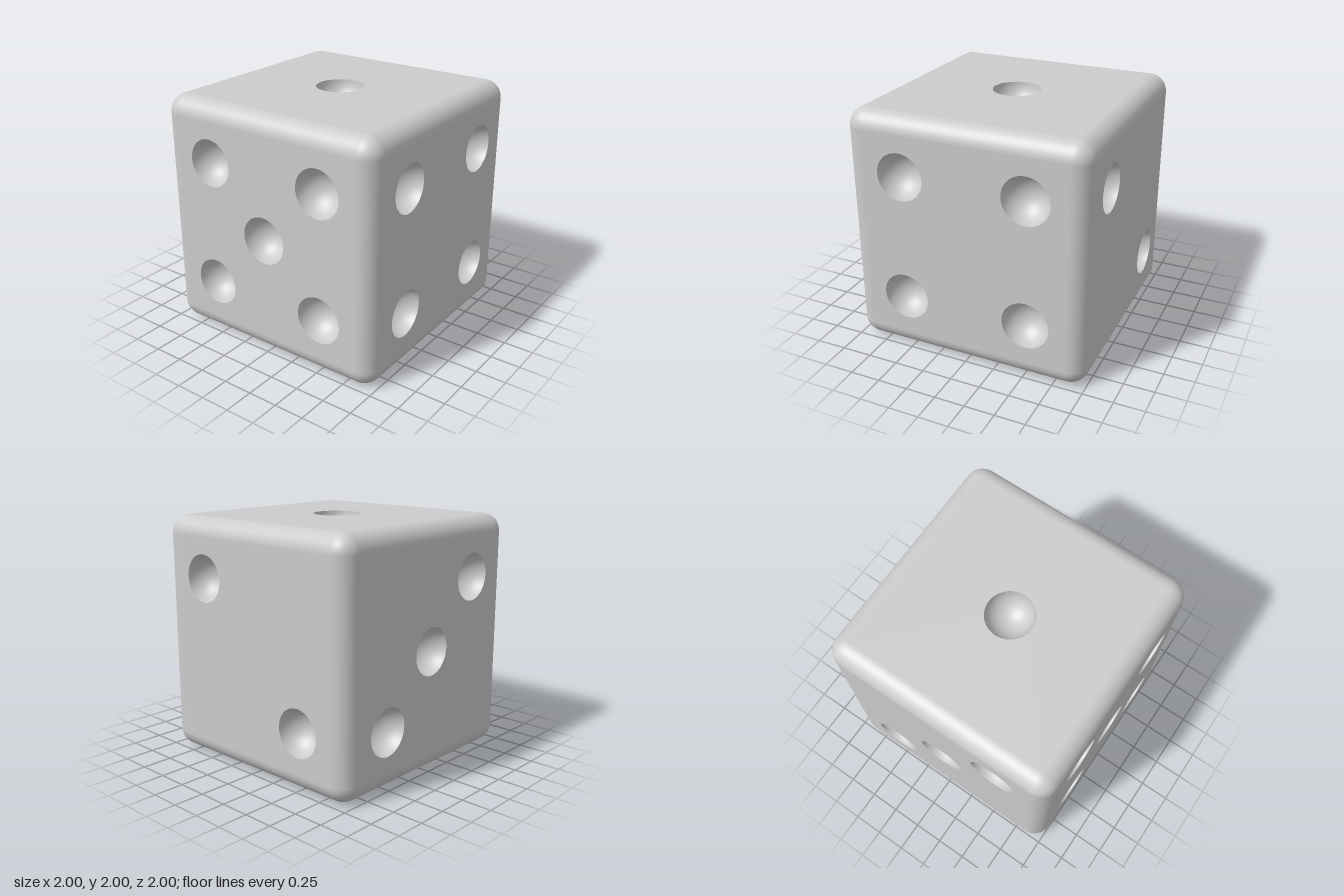
import * as THREE from 'three';

const HALF = 1;          // half of the cube's side
const ROUND = 0.15;      // radius of the rounded edges
const FLAT = HALF - ROUND;
const PIP = 0.195;       // radius of the hemispherical pips
const P = 0.52;          // pip offset from the face centre
const SEG = 48;

const pips = {
  one: [[0, 0]],
  two: [[-P, P], [P, -P]],
  three: [[-P, -P], [0, 0], [P, P]],
  four: [[-P, P], [P, P], [-P, -P], [P, -P]],
  five: [[-P, P], [P, P], [0, 0], [-P, -P], [P, -P]],
  six: [[-P, P], [-P, 0], [-P, -P], [P, P], [P, 0], [P, -P]],
};

// Hollow half sphere, open towards +z
function bowlGeometry() {
  const profile = [];
  for (let i = 0; i <= 16; i++) {
    const a = (i / 16) * Math.PI / 2;
    profile.push(new THREE.Vector2(i === 16 ? 0 : PIP * Math.cos(a), -PIP * Math.sin(a)));
  }
  return new THREE.LatheGeometry(profile, SEG).rotateX(Math.PI / 2);
}

// Flat square with a round opening for every pip
function plateGeometry(spots) {
  const shape = new THREE.Shape();
  shape.moveTo(-FLAT, -FLAT).lineTo(FLAT, -FLAT).lineTo(FLAT, FLAT).lineTo(-FLAT, FLAT).closePath();
  for (const [x, y] of spots) {
    shape.holes.push(new THREE.Path().absarc(x, y, PIP, 0, Math.PI * 2, true));
  }
  return new THREE.ShapeGeometry(shape, SEG / 2);
}

export function createModel() {
  const model = new THREE.Group();
  model.name = 'die';
  const body = new THREE.Group();
  body.name = 'body';
  body.position.y = HALF;
  model.add(body);

  const grey = new THREE.MeshStandardMaterial({ color: 0xcccccc });
  grey.name = 'light grey';

  const add = (parent, name, geometry) => {
    const mesh = new THREE.Mesh(geometry, grey);
    mesh.name = name;
    parent.add(mesh);
    return mesh;
  };

  // Six faces with their pips
  const Q = Math.PI / 2;
  const bowl = bowlGeometry();
  const faces = [
    ['frontFace', pips.four, 0, 0],
    ['leftFace', pips.two, 0, Q],
    ['backFace', pips.three, 0, Math.PI],
    ['rightFace', pips.five, 0, -Q],
    ['topFace', pips.one, -Q, 0],
    ['bottomFace', pips.six, Q, 0],
  ];
  for (const [name, spots, rx, ry] of faces) {
    const face = new THREE.Group();
    face.name = name;
    face.rotation.set(rx, ry, 0);
    add(face, 'plate', plateGeometry(spots)).position.z = HALF;
    for (const [x, y] of spots) add(face, 'pip', bowl).position.set(x, y, HALF);
    body.add(face);
  }

  // Twelve rounded edges: four along each axis
  const edge = new THREE.CylinderGeometry(ROUND, ROUND, 2 * FLAT, 12, 1, true, 0, Q)
    .translate(FLAT, 0, FLAT);
  for (const [name, rx, rz] of [['uprightEdges', 0, 0], ['crosswiseEdges', 0, Q], ['lengthwiseEdges', Q, 0]]) {
    const set = new THREE.Group();
    set.name = name;
    set.rotation.set(rx, 0, rz);
    for (let k = 0; k < 4; k++) add(set, 'edge', edge).rotation.y = k * Q;
    body.add(set);
  }

  // Eight rounded corners
  for (const [name, start, y] of [['topCorner', 0, FLAT], ['bottomCorner', Q, -FLAT]]) {
    const corner = new THREE.SphereGeometry(ROUND, 12, 12, Q, Q, start, Q).translate(FLAT, y, FLAT);
    for (let k = 0; k < 4; k++) add(body, name, corner).rotation.y = k * Q;
  }

  return model;
}
